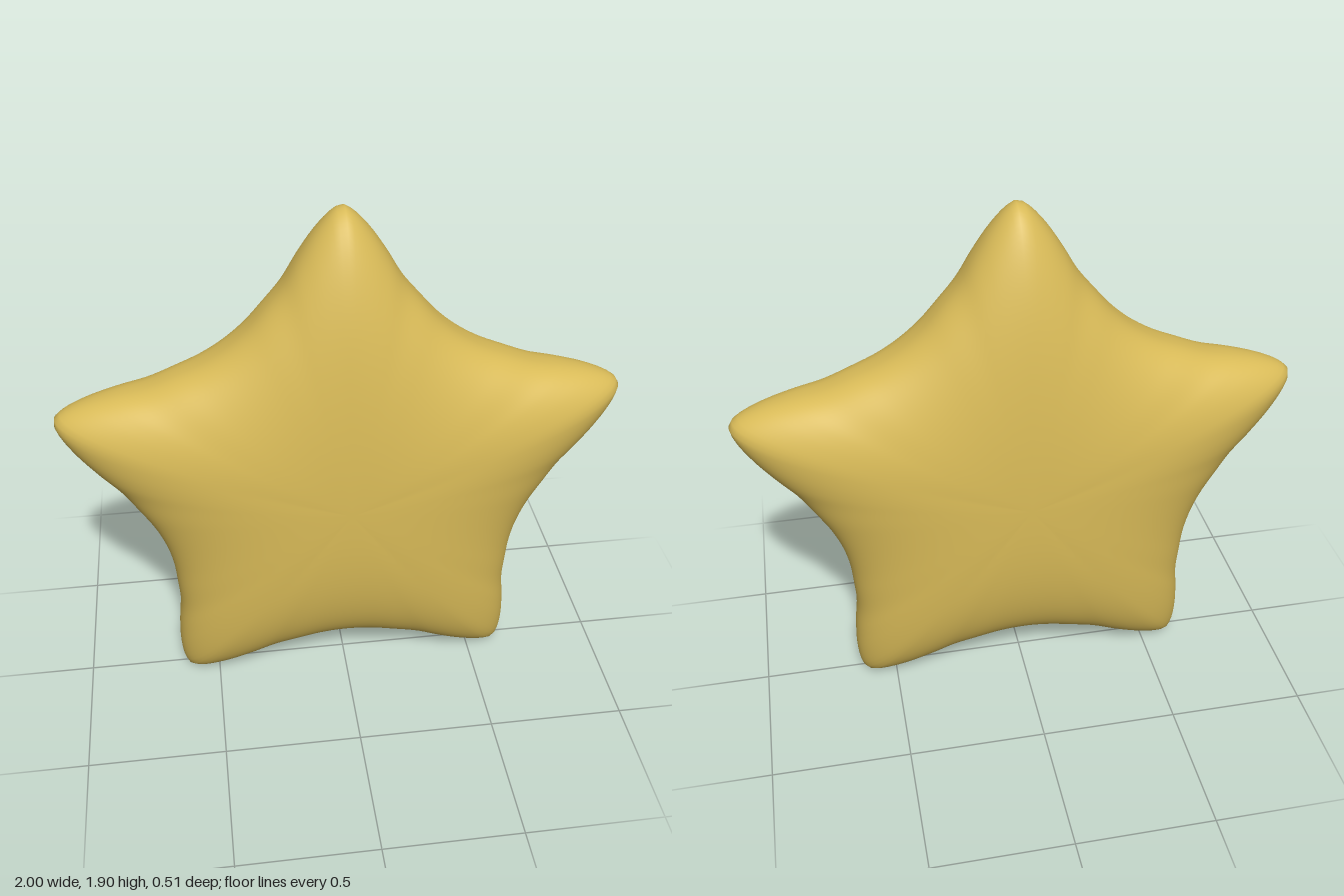
import * as THREE from 'three';
import { mergeVertices } from 'three/addons/utils/BufferGeometryUtils.js';

const TIP = 1.05, VALLEY = 0.7, DEPTH = 0.255, AROUND = 240, ROWS = 64;

// Half an arm: degrees away from the tip, radius
const HALF_ARM = [[1.85, 1.033], [5.2, 0.977], [9.5, 0.897], [14.5, 0.815], [20.7, 0.758], [28, 0.715]];

// Closed, counterclockwise star outline with rounded tips and valleys
function starOutline() {
  const arm = [
    ...HALF_ARM.map(([a, r]) => [-a, r]).reverse(),
    [0, TIP],
    ...HALF_ARM,
    [36, VALLEY],
  ];
  const points = [];
  for (let i = 0; i < 5; i++) {
    for (const [a, r] of arm) {
      const t = THREE.MathUtils.degToRad(90 + 72 * i + a);
      points.push(new THREE.Vector3(r * Math.cos(t), r * Math.sin(t), 0));
    }
  }
  return new THREE.CatmullRomCurve3(points, true).getSpacedPoints(AROUND);
}

// Sphere whose meridians are stretched out to the star outline
function puffyStar() {
  const outline = starOutline();
  const geometry = new THREE.SphereGeometry(1, AROUND, ROWS);
  const pos = geometry.attributes.position;
  for (let row = 0; row <= ROWS; row++) {
    const polar = (row / ROWS) * Math.PI;
    const s = row % ROWS === 0 ? 0 : Math.sin(polar);
    const side = Math.sign(ROWS / 2 - row);
    for (let col = 0; col <= AROUND; col++) {
      const p = outline[col % AROUND];
      // Slightly fuller bulge towards the valleys
      const power = 2 + 0.5 * (TIP - p.length()) / (TIP - VALLEY);
      const z = side * DEPTH * Math.pow(Math.max(0, 1 - Math.pow(s, power)), 1 / power);
      pos.setXYZ(row * (AROUND + 1) + col, p.x * s, p.y * s, z);
    }
  }
  // Weld the seam so the normals are smooth all round
  geometry.deleteAttribute('uv');
  geometry.deleteAttribute('normal');
  const welded = mergeVertices(geometry, 1e-5);
  welded.computeVertexNormals();
  welded.computeBoundingBox();
  welded.translate(0, -welded.boundingBox.min.y, 0);
  return welded;
}

export function createModel() {
  const group = new THREE.Group();
  group.name = 'star';
  const body = new THREE.Mesh(puffyStar(), new THREE.MeshStandardMaterial({ color: 0xd9bb58 }));
  body.name = 'starBody';
  group.add(body);
  return group;
}
